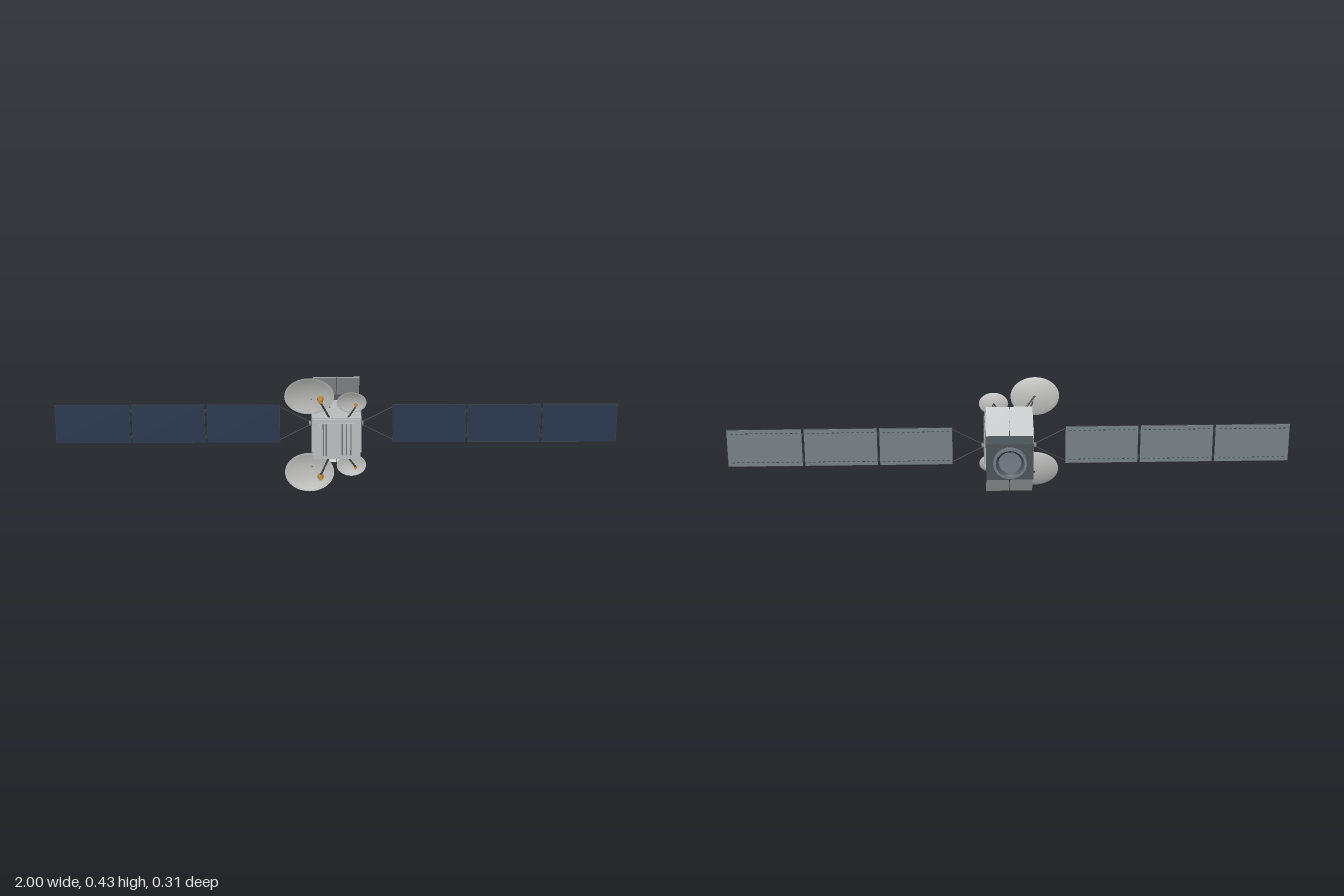
import * as THREE from 'three';

const mat = (name, color, side = THREE.FrontSide) => {
  const m = new THREE.MeshStandardMaterial({ color, side });
  m.name = name;
  return m;
};

export function createModel() {
  const root = new THREE.Group();
  root.name = 'satellite';
  const CY = 0.2225; // height of the centre line
  const hull = mat('hullGrey', 0xbcc0c1);
  const trim = mat('trimGrey', 0x707577);
  const rear = mat('rearSlate', 0x4b5559);
  const engine = mat('nozzleGrey', 0x757d84, THREE.DoubleSide);
  const dishMat = mat('dishGrey', 0xbdbdbc, THREE.DoubleSide);
  const dark = mat('strutDark', 0x3c4042);
  const gold = mat('hornGold', 0xbd8b3a);
  const cell = mat('cellNavy', 0x2b3a50);
  const back = mat('panelBack', 0x7a8286);

  const add = (parent, name, geo, material, x = 0, y = 0, z = 0) => {
    const m = new THREE.Mesh(geo, material);
    m.name = name;
    m.position.set(x, y, z);
    parent.add(m);
    return m;
  };
  const box = (parent, name, material, w, h, d, x, y, z) =>
    add(parent, name, new THREE.BoxGeometry(w, h, d), material, x, y, z);
  const strut = (parent, name, a, b, r = 0.0025, material = dark) => {
    const p = new THREE.Vector3(...a), q = new THREE.Vector3(...b);
    const dir = q.clone().sub(p);
    const m = add(parent, name, new THREE.CylinderGeometry(r, r, dir.length(), 8), material);
    m.position.copy(p).add(q).multiplyScalar(0.5);
    m.quaternion.setFromUnitVectors(new THREE.Vector3(0, 1, 0), dir.normalize());
    return m;
  };

  // Main body: core, end frames and raised front plate
  const body = new THREE.Group();
  body.name = 'body';
  body.position.y = CY;
  root.add(body);
  box(body, 'bodyCore', hull, 0.17, 0.155, 0.165, 0, 0, 0.053);
  box(body, 'frontFrame', hull, 0.164, 0.149, 0.009, 0, 0, 0.139);
  box(body, 'rearFrame', hull, 0.175, 0.155, 0.007, 0, 0, -0.0275);
  box(body, 'frontPlate', hull, 0.125, 0.119, 0.006, 0, 0, 0.145);
  for (const x of [-0.046, -0.036, 0.02, 0.035, 0.05])
    box(body, 'frontSlat', trim, 0.004, 0.119, 0.002, x, 0, 0.1485);

  // Side radiators with ribs
  for (const s of [-1, 1]) {
    box(body, 'sideRadiator', hull, 0.004, 0.123, 0.137, s * 0.086, 0, 0.046);
    for (const y of [-0.061, -0.031, 0, 0.031, 0.061])
      box(body, 'radiatorRib', trim, 0.003, 0.0025, 0.137, s * 0.0875, y, 0.046);
    box(body, 'radiatorEdge', trim, 0.003, 0.123, 0.002, s * 0.0875, 0, 0.1145);
  }

  // Rear module and engine nozzle
  box(body, 'rearModule', rear, 0.166, 0.138, 0.107, 0, 0, -0.084);
  const profile = [[0.052, 0], [0.052, 0.003], [0.059, 0.003], [0.059, 0.0145],
    [0.05, 0.0145], [0.046, 0.011], [0.04, 0.003], [0, 0.002]];
  const nozzleParts = [[0, 5, engine, 'nozzleRing'], [4, 7, rear, 'nozzleThroat'], [6, 8, engine, 'nozzleFloor']];
  for (const [from, to, material, name] of nozzleParts) {
    const pts = profile.slice(from, to).map(p => new THREE.Vector2(...p));
    // each band gets its own lathe so the rims stay crisp
    for (let i = 0; i < pts.length - 1; i++) {
      const g = new THREE.LatheGeometry([pts[i], pts[i + 1]], 36);
      g.rotateX(-Math.PI / 2);
      add(body, name, g, material, 0, 0, -0.1375);
    }
  }

  // Antennas and flaps, built above the body then mirrored below
  const makeDish = (parent, name, x, y, z, rx, ry, sag, tilt) => {
    const pts = [];
    for (let i = 0; i <= 8; i++) pts.push(new THREE.Vector2(i / 8, sag * (i / 8) ** 2));
    for (let i = 8; i >= 0; i--) pts.push(new THREE.Vector2(i / 8, sag * (i / 8) ** 2 - 0.002));
    const g = new THREE.LatheGeometry(pts, 40);
    g.rotateX(Math.PI / 2);
    g.scale(rx, ry, 1);
    add(parent, name, g, dishMat, x, y, z).rotation.x = tilt;
  };
  const makeHorn = (parent, name, x, y, z, len, r0, r1) => {
    const g = new THREE.CylinderGeometry(r0, r1, len, 16);
    g.rotateX(Math.PI / 2);
    add(parent, name, g, gold, x, y, z).rotation.x = 0.05;
  };

  for (const s of [1, -1]) {
    const set = new THREE.Group();
    set.name = s > 0 ? 'upperAntennas' : 'lowerAntennas';
    set.position.y = CY;
    set.scale.y = s;
    root.add(set);

    makeDish(set, 'largeDish', -0.095, 0.146, 0.087, 0.087, 0.071, 0.013, 0.12);
    strut(set, 'largeDishStrut', [-0.095, 0.152, 0.085], [-0.022, 0.076, 0.036], 0.003);
    strut(set, 'largeDishStrut', [-0.088, 0.13, 0.085], [-0.055, 0.076, 0.038], 0.003);
    makeDish(set, 'smallDish', 0.053, 0.12, 0.088, 0.052, 0.04, 0.008, 0.12);
    strut(set, 'smallDishStrut', [0.053, 0.124, 0.086], [0.014, 0.076, 0.04], 0.0025);
    strut(set, 'smallDishStrut', [0.056, 0.118, 0.086], [0.045, 0.076, 0.042], 0.0025);

    makeHorn(set, 'largeHorn', -0.056, 0.146, 0.141, 0.026, 0.0075, 0.0115);
    strut(set, 'largeHornMast', [-0.056, 0.138, 0.138], [-0.025, 0.075, 0.126], 0.0035);
    makeHorn(set, 'smallHorn', 0.067, 0.118, 0.12, 0.015, 0.004, 0.006);
    strut(set, 'smallHornMast', [0.067, 0.114, 0.121], [0.04, 0.075, 0.127], 0.003);

    // Tilted thermal flap in two halves
    for (const x of [-1, 1])
      box(set, 'thermalFlap', hull, 0.081, 0.103, 0.0025, x * 0.0418, 0.121, -0.06).rotation.x = Math.atan2(0.054, 0.088);
  }

  // Solar wings
  const N = 3, x0 = 0.2, pitch = 0.8 / N, H = 0.146, Z = -0.002;
  for (const s of [1, -1]) {
    const wing = new THREE.Group();
    wing.name = s > 0 ? 'leftWing' : 'rightWing';
    wing.position.set(0, CY, Z);
    root.add(wing);
    const hub = add(wing, 'wingHub', new THREE.CylinderGeometry(0.01, 0.01, 0.012, 20), trim, s * 0.091);
    hub.rotation.z = Math.PI / 2;
    for (const t of [1, -1]) {
      strut(wing, 'wingYoke', [s * 0.094, t * 0.006, 0], [s * 0.202, t * 0.064, 0], 0.0025);
    }
    for (let i = 0; i < N; i++) {
      const w = pitch - (i < N - 1 ? 0.006 : 0);
      const x = s * (x0 + i * pitch + w / 2);
      box(wing, 'panelFrame', dark, w, H, 0.003, x, 0, 0);
      box(wing, 'panelCells', cell, w - 0.003, H - 0.003, 0.001, x, 0, 0.0018);
      box(wing, 'panelBacking', back, w - 0.003, H - 0.003, 0.001, x, 0, -0.0018);
      // dashed wiring along the back
      for (const t of [1, -1])
        for (let k = 0; k < 14; k++)
          box(wing, 'wiringDash', dark, 0.009, 0.002, 0.0006, x + (k - 6.5) * 0.0175, t * 0.057, -0.0025);
      // hinges to the next panel
      if (i < N - 1)
        for (const t of [1, -1])
          box(wing, 'panelHinge', dark, 0.008, 0.012, 0.004, s * (x0 + (i + 1) * pitch - 0.003), t * 0.05, 0);
    }
  }
  return root;
}
